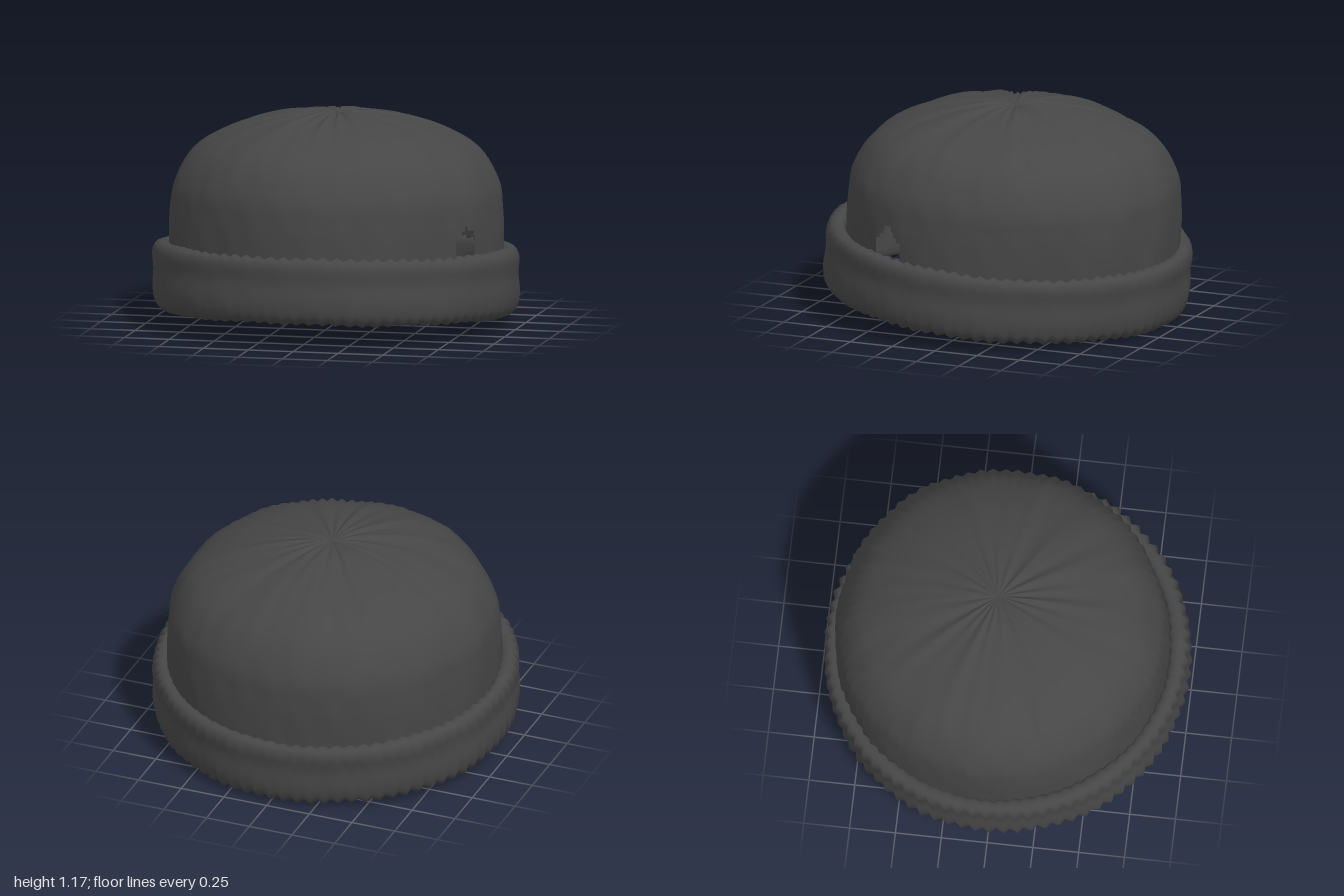
import * as THREE from 'three';

const RIBS = 80;
const SEGMENTS = RIBS * 4;

// Surface of revolution: the profile spun round y, dented along its normal by dents(angle, radius, y),
// then raised into fine ribs of height ribHeight(radius) that keep the soft shading of the cloth
function knitSurface(profile, rows, dents, ribHeight, isGap = () => false) {
  const curve = new THREE.SplineCurve(profile.map(([r, y]) => new THREE.Vector2(r, y)));
  const positions = [], ribs = [], index = [];
  for (let i = 0; i <= rows; i++) {
    const p = curve.getPoint(i / rows), t = curve.getTangent(i / rows);
    for (let j = 0; j < SEGMENTS; j++) {
      const a = (j / SEGMENTS) * Math.PI * 2;
      const d = dents(a, p.x, p.y);
      const r = Math.max(0, p.x + t.y * d);
      positions.push(r * Math.sin(a), p.y - t.x * d, r * Math.cos(a));
      ribs.push(ribHeight(p.x) * Math.cos(RIBS * a));
      if (i === rows || isGap(a, p.y)) continue;
      const k = (j + 1) % SEGMENTS, row = i * SEGMENTS, next = row + SEGMENTS;
      index.push(row + j, row + k, next + j, row + k, next + k, next + j);
    }
  }
  const geometry = new THREE.BufferGeometry();
  geometry.setAttribute('position', new THREE.Float32BufferAttribute(positions, 3));
  geometry.setIndex(index);
  geometry.computeVertexNormals();
  const { position, normal } = geometry.attributes;
  const point = new THREE.Vector3(), outward = new THREE.Vector3();
  ribs.forEach((height, i) => {
    outward.fromBufferAttribute(normal, i);
    point.fromBufferAttribute(position, i).addScaledVector(outward, height);
    position.setXYZ(i, point.x, point.y, point.z);
  });
  return geometry;
}

// Soft irregular dents in the cloth
const wrinkle = (a, y) =>
  0.004 * Math.sin(5 * a + 5 * y) + 0.003 * Math.sin(13 * a - 7 * y + 1.3) +
  0.0015 * Math.sin(29 * a + 12 * y) * Math.sin(4 * a - 9 * y);

export function createModel() {
  const wool = new THREE.MeshStandardMaterial({ color: 0x464646, side: THREE.DoubleSide });
  wool.name = 'charcoal wool';

  // Dome, from inside the cuff up to the gathered crown
  const crownDents = (a, r, y) => {
    const pleats = 0.006 * Math.cos(20 * a + 2 * Math.sin(3 * a)) * Math.min(1, r / 0.15) * Math.max(0, 1 - r / 0.7);
    return pleats + wrinkle(a, y) * Math.min(1, r / 0.3);
  };
  // Small worn hole just above the cuff on the left
  const wornHole = (a, y) => y > 0.17 && y < 0.335 && Math.abs(a - 1.11) < 0.09 - Math.max(0, y - 0.26);
  const crown = new THREE.Mesh(knitSurface([
    [0.885, -0.08], [0.895, 0.05], [0.9, 0.22], [0.895, 0.38], [0.87, 0.53], [0.77, 0.69],
    [0.6, 0.795], [0.4, 0.862], [0.2, 0.898], [0.08, 0.905], [0, 0.895],
  ], 60, crownDents, (r) => 0.008 * Math.min(1, r / 0.4), wornHole), wool);
  crown.name = 'crown';
  crown.rotation.x = -0.03;
  crown.position.set(0, 0.25, -0.025);

  // Folded cuff with rounded edges, leaning back with its front raised
  const cuff = new THREE.Mesh(knitSurface([
    [0.875, 0.05], [0.86, -0.08], [0.86, -0.15], [0.88, -0.175], [0.93, -0.175], [0.97, -0.14], [0.985, -0.06],
    [0.978, 0.04], [0.985, 0.12], [0.97, 0.165], [0.935, 0.178], [0.9, 0.16], [0.89, 0.1],
  ], 40, (a, r, y) => 0.7 * wrinkle(a, y), (r) => 0.012 * THREE.MathUtils.smoothstep(r, 0.86, 0.96)), wool);
  cuff.name = 'cuff';
  cuff.rotation.x = -0.07;
  cuff.position.y = 0.25;

  const model = new THREE.Group();
  model.name = 'knitted beanie';
  model.add(crown, cuff);
  return model;
}
